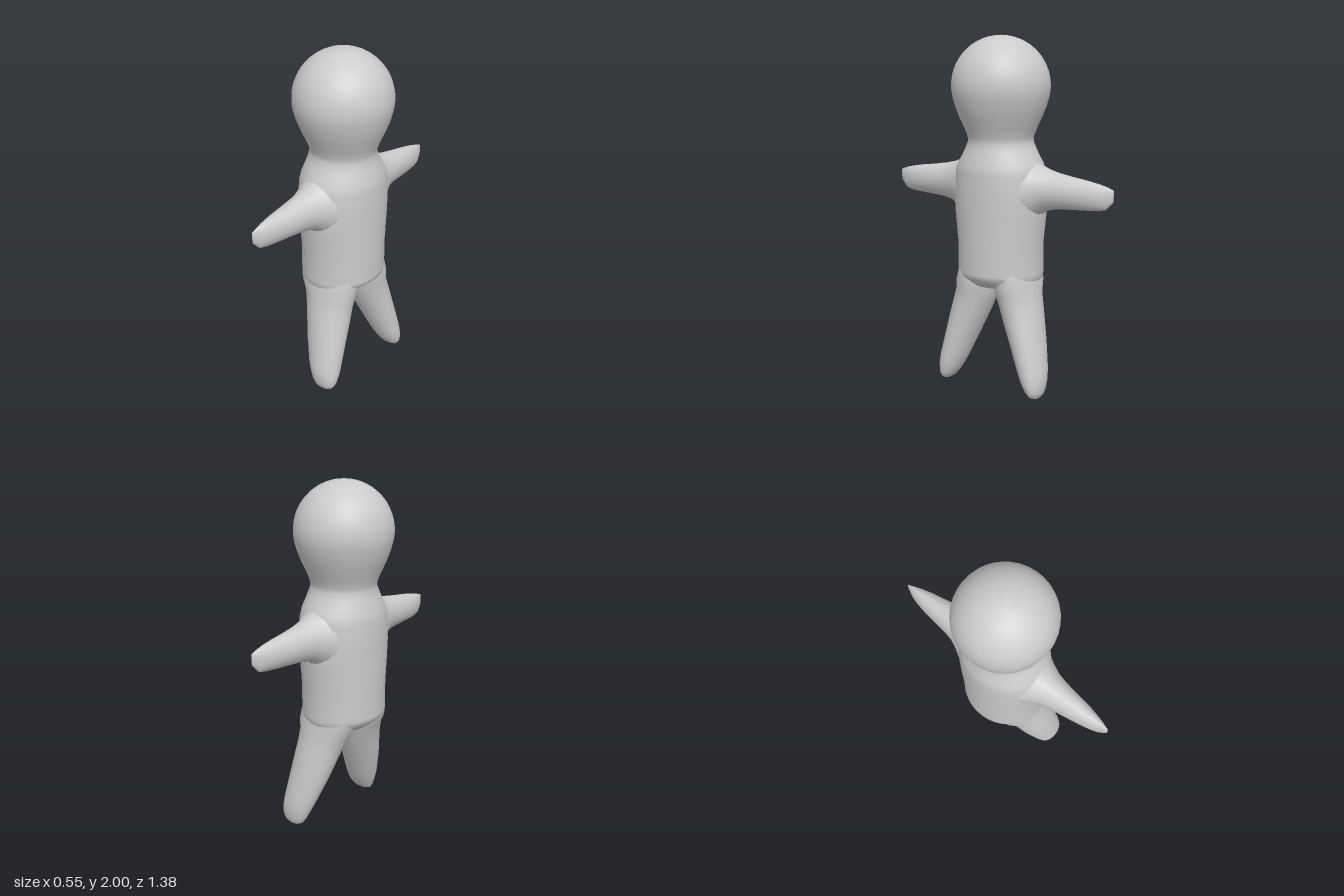
import * as THREE from 'three';
import { mergeVertices } from 'three/addons/utils/BufferGeometryUtils.js';

const material = new THREE.MeshStandardMaterial({ color: 0xcccccc });

// Skin of elliptical rings stacked upwards; ring = [y, centreX, radiusX, centreZ, radiusZ]
function loft(name, rings, sides = 28) {
  const pos = [], index = [];
  for (const [y, cx, rx, cz, rz] of rings) {
    for (let i = 0; i < sides; i++) {
      const a = (i / sides) * Math.PI * 2;
      pos.push(cx + rx * Math.cos(a), y, cz + rz * Math.sin(a));
    }
  }
  for (let r = 0; r < rings.length - 1; r++) {
    for (let i = 0; i < sides; i++) {
      const a = r * sides + i, b = r * sides + (i + 1) % sides;
      index.push(a, a + sides, b, b, a + sides, b + sides);
    }
  }
  let geo = new THREE.BufferGeometry();
  geo.setAttribute('position', new THREE.Float32BufferAttribute(pos, 3));
  geo.setIndex(index);
  geo = mergeVertices(geo, 1e-5);
  geo.computeVertexNormals();
  const mesh = new THREE.Mesh(geo, material);
  mesh.name = name;
  return mesh;
}

export function createModel() {
  const model = new THREE.Group();
  model.name = 'figure';

  // Torso, neck and round head in one continuous skin
  const profile = [
    [0.58, 0, 0], [0.59, 0.09, 0.12], [0.61, 0.165, 0.215], [0.64, 0.2, 0.24],
    [0.665, 0.226, 0.249], [0.69, 0.23, 0.25], [0.85, 0.23, 0.248],
    [1.0, 0.23, 0.265], [1.1, 0.23, 0.272], [1.25, 0.23, 0.262],
    [1.3, 0.222, 0.245], [1.345, 0.207, 0.218], [1.385, 0.195, 0.198],
    [1.42, 0.187, 0.182], [1.45, 0.189, 0.184], [1.5, 0.208, 0.204],
    [1.56, 0.235, 0.232], [1.62, 0.257, 0.255],
  ];
  const headY = 1.725, headR = 0.275;
  for (let i = 0; i <= 14; i++) {
    const a = THREE.MathUtils.degToRad(-10 + (100 * i) / 14);
    const r = Math.max(0, headR * Math.cos(a));
    profile.push([headY + headR * Math.sin(a), r, r]);
  }
  model.add(loft('bodyAndHead', profile.map(([y, rx, rz]) => [y, 0, rx, 0, rz]), 36));

  // Arms flare out of the shoulders and thin to an upright edge: [reach, halfWidth, bottom, top]
  const armProfile = [
    [0.08, 0.215, 0.9, 1.37], [0.15, 0.185, 0.94, 1.355], [0.2, 0.155, 0.975, 1.335],
    [0.25, 0.125, 1.02, 1.305], [0.3, 0.1, 1.055, 1.285], [0.36, 0.084, 1.068, 1.27],
    [0.45, 0.07, 1.075, 1.255], [0.54, 0.055, 1.08, 1.243], [0.61, 0.038, 1.085, 1.23],
    [0.65, 0.024, 1.095, 1.22], [0.69, 0.003, 1.14, 1.205], [0.69, 0, 1.17, 1.17],
  ];
  const armRings = armProfile.map(([t, w, lo, hi]) => [t, 0, w, -(lo + hi) / 2, (hi - lo) / 2]);
  for (const side of [1, -1]) {
    const arm = new THREE.Group();
    arm.name = side > 0 ? 'frontArm' : 'backArm';
    const skin = loft('armSkin', armRings, 20);
    skin.geometry.rotateX(Math.PI / 2);
    arm.add(skin);
    arm.rotation.y = side > 0 ? 0 : Math.PI;
    model.add(arm);
  }

  // Legs splay apart and lean towards +x, ending in rounded tips
  const legRings = [
    [0, 0.105, 0, 0.295, 0], [0.005, 0.105, 0.035, 0.295, 0.016],
    [0.02, 0.106, 0.065, 0.291, 0.034], [0.05, 0.106, 0.083, 0.284, 0.052],
    [0.1, 0.1, 0.096, 0.272, 0.07], [0.16, 0.088, 0.107, 0.256, 0.082],
    [0.3, 0.062, 0.126, 0.214, 0.098], [0.42, 0.044, 0.138, 0.177, 0.112],
    [0.5, 0.031, 0.147, 0.153, 0.118], [0.57, 0.02, 0.163, 0.132, 0.122],
    [0.63, 0.01, 0.185, 0.126, 0.122], [0.7, 0, 0.19, 0.12, 0.11],
  ];
  for (const side of [1, -1]) {
    // The back leg reaches slightly further out and forward at the foot
    const shift = side > 0 ? 0 : 0.012;
    const rings = legRings.map(([y, cx, rx, cz, rz]) => {
      const k = shift * (1 - y / 0.7);
      return [y, cx + k, rx, side * (cz + k), rz];
    });
    model.add(loft(side > 0 ? 'frontLeg' : 'backLeg', rings, 24));
  }
  return model;
}
